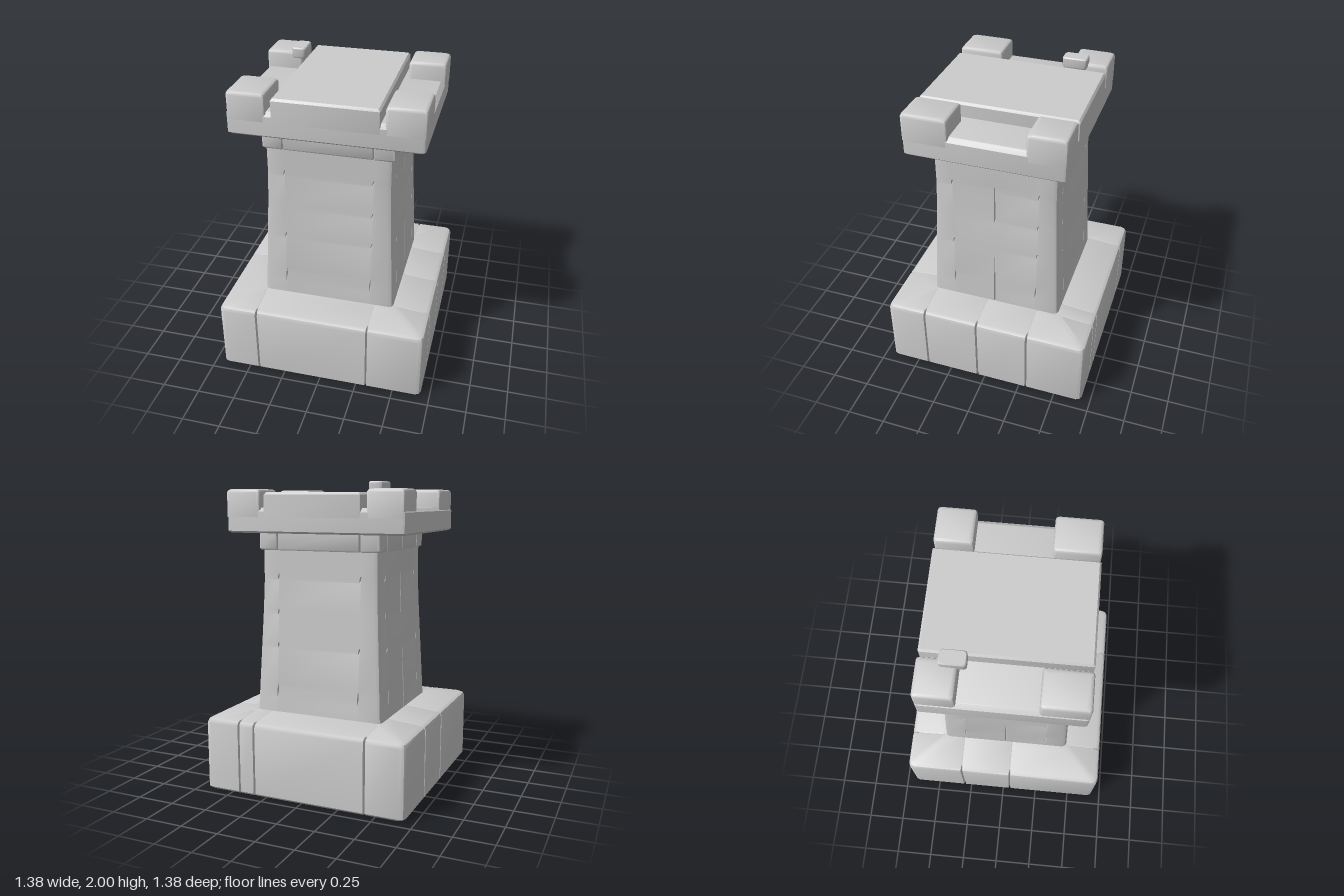
import * as THREE from 'three';
import { toCreasedNormals } from 'three/addons/utils/BufferGeometryUtils.js';

const stone = new THREE.MeshStandardMaterial({ color: 0xcccccc });

// Plan outline of a worn block: rounded corners and V-shaped joints cut into its four sides.
// joints: [front, right, back, left], each a list of [position, depth or depth(y)]
function outline(a, b, corner, joints, width, y) {
  const points = [];
  for (let side = 0; side < 4; side++) {
    const angle = side * Math.PI / 2;
    const tx = Math.round(Math.cos(angle)), tz = -Math.round(Math.sin(angle));
    const along = side % 2 ? b : a, out = side % 2 ? a : b;
    const add = (u, v) => points.push(new THREE.Vector2(tx * u - tz * v, tz * u + tx * v));
    add(-along + corner, out);
    (joints[side] || [])
      .map(([p, d]) => [p * (tx + tz), typeof d === 'function' ? d(y) : d])
      .sort((p, q) => p[0] - q[0])
      .forEach(([u, d]) => { add(u - width, out); add(u, out - d); add(u + width, out); });
    add(along - corner, out);
    add(along - 0.3 * corner, out - 0.3 * corner);
  }
  return points;
}

// Stacks outlines at levels [y, inset] and closes both ends.
function block(name, a, b, levels, { corner = 0.015, joints = [], width = 0.006, x = 0, z = 0 } = {}) {
  const rings = levels.map(([y, inset]) => outline(a - inset, b - inset, corner, joints, width, y));
  const n = rings[0].length, position = [], index = [];
  rings.forEach((ring, k) => ring.forEach(p => position.push(p.x, levels[k][0], p.y)));
  for (let k = 0; k < rings.length - 1; k++) {
    for (let i = 0; i < n; i++) {
      const p = k * n + i, q = k * n + (i + 1) % n;
      index.push(p, q, q + n, p, q + n, p + n);
    }
  }
  const cap = ring => THREE.ShapeUtils.triangulateShape(ring.map(p => new THREE.Vector2(p.x, -p.y)), []);
  const last = (rings.length - 1) * n;
  cap(rings[0]).forEach(([i, j, k]) => index.push(i, k, j));
  cap(rings[rings.length - 1]).forEach(([i, j, k]) => index.push(last + i, last + j, last + k));

  const geometry = new THREE.BufferGeometry();
  geometry.setAttribute('position', new THREE.Float32BufferAttribute(position, 3));
  geometry.setIndex(index);
  const mesh = new THREE.Mesh(toCreasedNormals(geometry, 0.6), stone);
  mesh.name = name;
  mesh.position.set(x, 0, z);
  return mesh;
}

export function createModel() {
  const group = new THREE.Group();
  group.name = 'stoneTower';

  // Wide base with upright joints and a gently domed top
  const cut = list => list.map(p => [p, 0.025]);
  group.add(block('base', 0.69, 0.69,
    [[0, 0.015], [0.015, 0], [0.455, 0], [0.475, 0.008], [0.487, 0.03], [0.505, 0.22], [0.51, 0.27]],
    { corner: 0.035, width: 0.007,
      joints: [cut([-0.43, 0.32]), cut([0.42, 0.05, -0.3]), cut([0.44, 0.33, -0.43]), cut([-0.3, 0.05])] }));

  // Tapered shaft with small chips in rows and a long crack on each side
  const chipRows = [0.65, 0.95, 1.17, 1.4];
  const chips = skip => y => chipRows.some((r, i) => i !== skip && Math.abs(r - y) < 0.001) ? 0.014 : 0;
  const crack = y => (y < 0.9 || (y > 1.16 && y < 1.41)) ? 0.008 : 0;
  const inset = y => 0.04 * Math.min(1, (y - 0.48) / 0.85);
  const heights = [0.48];
  chipRows.forEach((r, i) => {
    const h = i === 0 ? 0.05 : 0.02;
    heights.push(r - h, r, r + h);
  });
  heights.push(1.58);
  const face = [[-0.285, chips(2)], [0.285, chips(-1)]];
  const flank = [[-0.285, chips(-1)], [0, crack], [0.285, chips(2)]];
  group.add(block('shaft', 0.443, 0.443, heights.map(y => [y, inset(y)]),
    { corner: 0.03, joints: [face, flank, face, flank] }));

  // Jointed collar under the cap
  const collarFace = [[-0.285, 0.014], [0.285, 0.014]];
  const collarFlank = [...collarFace, [0, 0.014]];
  group.add(block('collar', 0.418, 0.418, [[1.57, 0.006], [1.58, 0], [1.69, 0]],
    { joints: [collarFace, collarFlank, collarFace, collarFlank] }));

  // Overhanging cap: lower slab, middle slab and four corner stones
  const cap = new THREE.Group();
  cap.name = 'cap';
  cap.add(block('capSlab', 0.605, 0.498, [[1.68, 0.014], [1.692, 0], [1.815, 0], [1.84, 0.028]], { corner: 0.02 }));
  cap.add(block('middleSlab', 0.329, 0.5, [[1.78, 0], [1.92, 0], [1.935, 0.012]], { corner: 0.008, x: 0.007 }));
  for (const x of [-0.478, 0.486]) {
    for (const [z, depth] of [[-0.38, 0.12], [0.355, 0.145]]) {
      cap.add(block('cornerStone', 0.121, depth, [[1.78, 0], [1.935, 0], [1.948, 0.006], [1.955, 0.018]],
        { corner: 0.018, x, z }));
    }
  }
  group.add(cap);

  // Loose stone resting on the cap
  group.add(block('looseStone', 0.047, 0.08, [[1.93, 0.004], [1.94, 0], [1.992, 0], [2, 0.006]],
    { corner: 0.018, x: -0.365, z: -0.29 }));
  return group;
}
